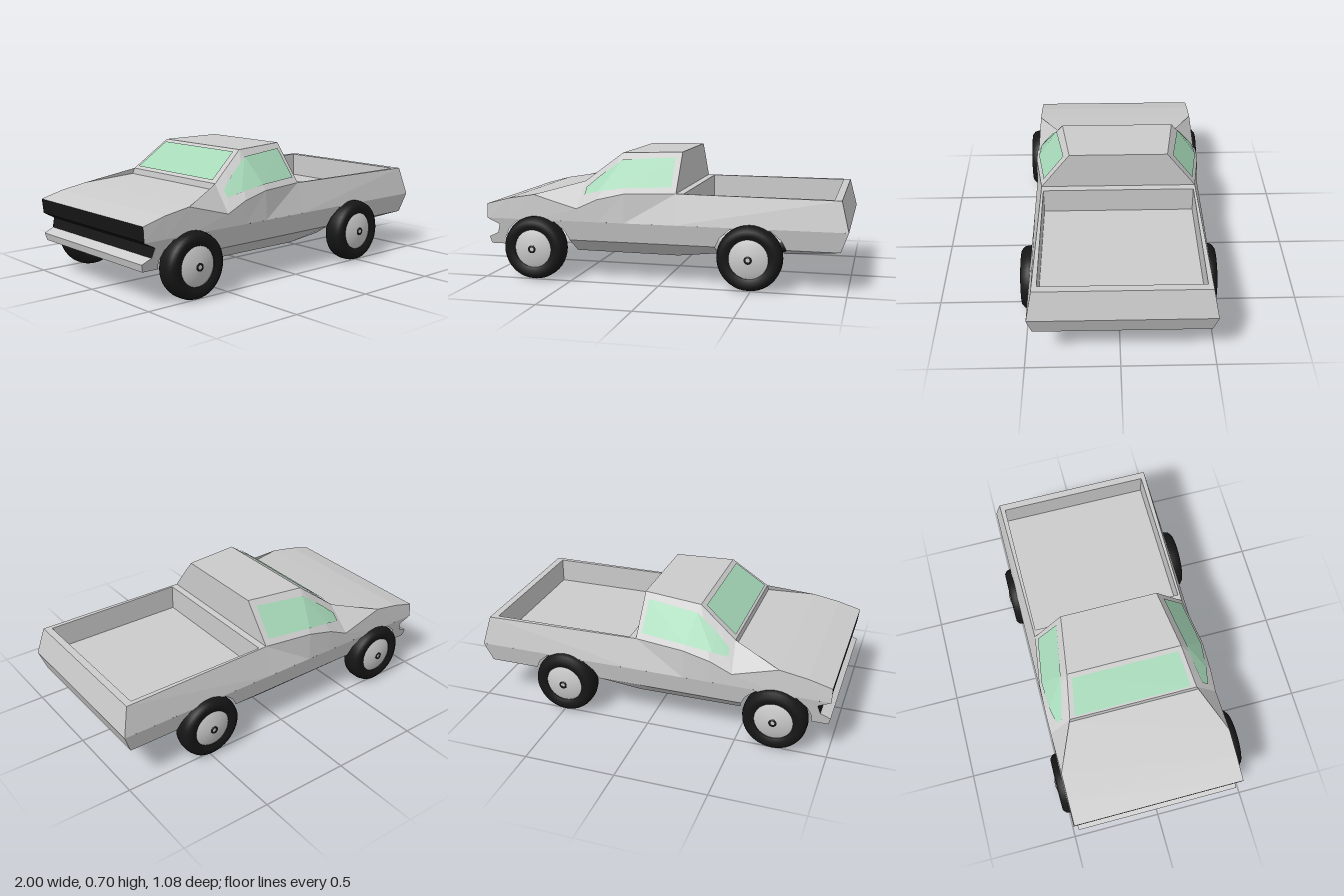
import * as THREE from 'three';

const mat = (color) => new THREE.MeshStandardMaterial({ color, flatShading: true });
const grey = mat(0xcccccc), glass = mat(0xa6d8b8), black = mat(0x161616);
const flip = ([x, y, z]) => [x, y, -z];
const mix = (a, b, t) => a.map((v, i) => v + (b[i] - v) * t);

// Skin between rows of points: rows run upward, columns run to the right as seen from outside
function skin(rows) {
  const pos = [];
  for (let r = 0; r + 1 < rows.length; r++) {
    for (let c = 0; c + 1 < rows[r].length; c++) {
      const [a, b, d, e] = [rows[r][c], rows[r][c + 1], rows[r + 1][c + 1], rows[r + 1][c]];
      pos.push(...a, ...b, ...d, ...a, ...d, ...e);
    }
  }
  const g = new THREE.BufferGeometry();
  g.setAttribute('position', new THREE.Float32BufferAttribute(pos, 3));
  g.computeVertexNormals();
  return g;
}

// Mirror a geometry across z = 0, keeping its faces outward
function mirrored(geometry) {
  const g = geometry.index ? geometry.toNonIndexed() : geometry.clone();
  const p = g.attributes.position;
  for (let i = 0; i < p.count; i += 3) {
    const v = [0, 2, 1].map((k) => [p.getX(i + k), p.getY(i + k), -p.getZ(i + k)]);
    v.forEach((q, k) => p.setXYZ(i + k, ...q));
  }
  g.computeVertexNormals();
  return g;
}

export function createModel() {
  const model = new THREE.Group();
  model.name = 'pickupTruck';
  const body = new THREE.Group();
  body.name = 'body';
  body.position.z = -0.009;
  model.add(body);

  const add = (name, geometry, material = grey) => {
    const m = new THREE.Mesh(geometry, material);
    m.name = name;
    body.add(m);
  };
  const both = (name, geometry, material) => {
    add(name + 'Left', geometry, material);
    add(name + 'Right', mirrored(geometry), material);
  };
  // Panel spanning the full width, following left-edge points
  const across = (name, pts, material) => add(name, skin([pts, pts.map(flip)]), material);

  // Shared corner points of the left half
  const hoodBend = [-0.72, 0.47, 0.478], hoodEnd = [-0.46, 0.507, 0.375];
  const cowl = [-0.455, 0.54, 0.362], pillar = [-0.36, 0.613, 0.342];
  const roofFront = [-0.25, 0.697, 0.32], roofBack = [0.08, 0.705, 0.274];
  const belt = [[-0.47, 0.4, 0.483], [-0.35, 0.455, 0.483], [-0.2, 0.49, 0.478], [0.08, 0.495, 0.437]];
  const bedCorner = [0.96, 0.49, 0.452], tailCrease = [1, 0.33, 0.483], tailBottom = [0.96, 0.22, 0.46];
  const nose = [-1, 0.41, 0.478];

  // Panels across the truck, from nose to tail and back underneath
  across('hood', [nose, [-0.87, 0.445, 0.478], hoodBend, hoodEnd, cowl]);
  across('windshieldFrame', [cowl, roofFront]);
  across('roof', [roofFront, roofBack]);
  across('cabBack', [roofBack, belt[3]]);
  const inner = [[0.12, 0.494, 0.425], [0.12, 0.35, 0.425], [0.92, 0.35, 0.425], [0.92, 0.49, 0.425]];
  across('bedFrontRim', [belt[3], inner[0]]);
  across('bedLiner', inner);
  across('bedTailRim', [inner[3], bedCorner]);
  across('tailgate', [bedCorner, tailCrease, tailBottom]);
  across('underside', [tailBottom, [0.66, 0.19, 0.4], [0.3, 0.17, 0.385], [0.08, 0.147, 0.385],
    [-0.5, 0.15, 0.385], [-0.9, 0.18, 0.4], [-0.99, 0.18, 0.452]]);
  across('frontBumper', [[-0.99, 0.18, 0.452], [-1, 0.22, 0.46], [-0.945, 0.245, 0.465]]);
  across('grille', [[-0.945, 0.245, 0.465], [-0.93, 0.295, 0.475], [-0.99, 0.33, 0.48], nose], black);

  // Windshield glass, just proud of its frame
  across('windshield', [0.06, 0.9].map((t) => {
    const [x, y, z] = mix(cowl, roofFront, t);
    return [x - 0.004, y + 0.005, z * 0.92];
  }), glass);

  // Bed rails and inner walls
  both('bedRail', skin([[belt[3], bedCorner], [inner[0], inner[3]]]));
  both('bedInnerWall', skin([[inner[2], inner[1]], [inner[3], inner[0]]]));

  // Upper side, from the waist crease to the belt line
  const top = [nose, [-0.87, 0.445, 0.478], hoodBend, ...belt, bedCorner];
  const crease = top.map(([x], i) => (i === top.length - 1 ? tailCrease : [x, 0.33, 0.483]));
  both('upperSide', skin([crease, top]));
  both('fenderTop', skin([[hoodBend, belt[0]], [hoodEnd, cowl]]));

  // Cab side and its window
  const cabTop = [cowl, pillar, roofFront, roofBack];
  both('cabSide', skin([belt, cabTop]));
  const onCab = (t, s) => {
    const i = Math.min(2, Math.floor(t));
    const [x, y, z] = mix(mix(belt[i], belt[i + 1], t - i), mix(cabTop[i], cabTop[i + 1], t - i), s);
    return [x, y + 0.003, z + 0.006];
  };
  const pane = [[0.25, 0.4, 0.66], [1, 0.24, 0.76], [2, 0.13, 0.82], [2.9, 0.14, 0.86]];
  both('sideWindow', skin([pane.map((p) => onCab(p[0], p[1])), pane.map((p) => onCab(p[0], p[2]))]), glass);

  // Lower side with wheel arches, leaning in toward the bottom
  const arch = (cx) => [[-0.19, 0.22], [-0.165, 0.27], [-0.11, 0.32], [0.11, 0.32], [0.165, 0.27], [0.19, 0.22]]
    .map(([x, y]) => [cx + x, y]);
  const outline = [[-1, 0.22], [-0.99, 0.18], [-0.9, 0.18], ...arch(-0.71), ...arch(0.49),
    [0.96, 0.22], [1, 0.33], [-1, 0.33], [-0.93, 0.295], [-0.945, 0.245]];
  const lower = new THREE.ShapeGeometry(new THREE.Shape(outline.map((p) => new THREE.Vector2(...p)))).toNonIndexed();
  const lp = lower.attributes.position;
  for (let i = 0; i < lp.count; i++) lp.setZ(i, 0.46 + (lp.getY(i) - 0.22) * 0.21);
  lower.computeVertexNormals();
  both('lowerSide', lower);

  // Sills joining the sides to the floor
  both('sill', skin([[[-0.5, 0.15, 0.385], [0.08, 0.147, 0.385], [0.3, 0.17, 0.385]],
    [[-0.52, 0.22, 0.46], [0.08, 0.22, 0.46], [0.3, 0.22, 0.46]]]));
  both('rearSill', skin([[[0.66, 0.19, 0.4], tailBottom], [[0.68, 0.22, 0.46], tailBottom]]));

  // Wheels: lathed about the axle, outer face toward +z
  const lathe = (pts) => new THREE.LatheGeometry(pts.map((p) => new THREE.Vector2(...p)), 40).rotateX(Math.PI / 2);
  const smooth = (color) => new THREE.MeshStandardMaterial({ color, side: THREE.DoubleSide });
  const tireGeo = lathe([[0.105, -0.05], [0.125, -0.06], [0.15, -0.06], [0.168, -0.045], [0.175, -0.02],
    [0.175, 0.02], [0.168, 0.045], [0.15, 0.06], [0.125, 0.06], [0.105, 0.05]]);
  const rimGeo = lathe([[0.02, 0.066], [0.05, 0.062], [0.085, 0.054], [0.106, 0.045]]);
  const backGeo = lathe([[0.106, -0.045], [0.06, -0.04], [0, -0.035]]);
  const capGeo = lathe([[0.022, 0.06], [0.022, 0.068], [0.011, 0.068]]);
  const pinGeo = lathe([[0.012, 0.066], [0, 0.066]]);
  const tireMat = smooth(0x161616), rimMat = smooth(0xcccccc);
  for (const [end, x] of [['front', -0.71], ['rear', 0.49]]) {
    for (const [hand, s] of [['Left', 1], ['Right', -1]]) {
      const wheel = new THREE.Group();
      wheel.name = end + hand + 'Wheel';
      for (const [name, geo, m] of [['tire', tireGeo, tireMat], ['rim', rimGeo, rimMat],
        ['rimBack', backGeo, rimMat], ['hubRing', capGeo, tireMat], ['hubPin', pinGeo, rimMat]]) {
        const part = new THREE.Mesh(geo, m);
        part.name = name;
        wheel.add(part);
      }
      wheel.position.set(x, 0.175, s * 0.47);
      if (s < 0) wheel.rotation.y = Math.PI;
      model.add(wheel);
    }
  }
  return model;
}
